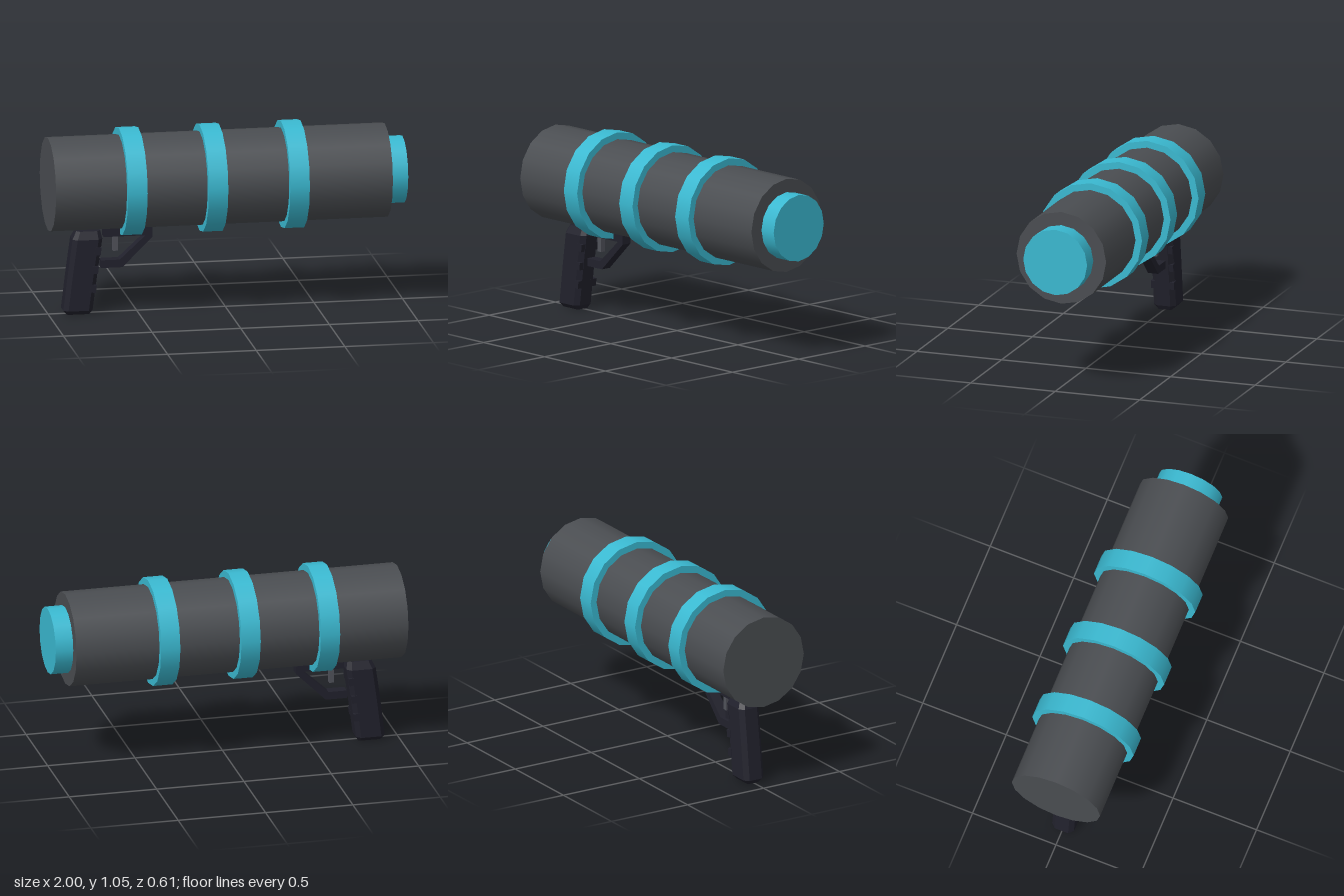
import * as THREE from 'three';

export function createModel() {
  const group = new THREE.Group();
  const mat = (name, color) => {
    const m = new THREE.MeshStandardMaterial({ color });
    m.name = name;
    return m;
  };
  const teal = mat('teal', 0x3ab9d1);
  const grey = mat('dark grey', 0x4a4d51);
  const black = mat('blue black', 0x21212c);
  const steel = mat('trigger grey', 0x50525a);

  const add = (name, geometry, material, x = 0, y = 0, z = 0) => {
    const mesh = new THREE.Mesh(geometry, material);
    mesh.name = name;
    mesh.position.set(x, y, z);
    group.add(mesh);
    return mesh;
  };

  // Sixteen-sided cylinder lying along x
  const AXIS_Y = 0.745;
  const barrelPart = (name, r, x0, x1, material) =>
    add(name, new THREE.CylinderGeometry(r, r, x1 - x0, 16).rotateZ(-Math.PI / 2),
      material, (x0 + x1) / 2, AXIS_Y);

  barrelPart('tube', 0.265, -1, 0.9, grey);
  barrelPart('muzzle', 0.189, 0.88, 1, teal);
  [-0.545, -0.09, 0.37].forEach((x, i) =>
    barrelPart('band' + (i + 1), 0.304, x - 0.055, x + 0.055, teal));

  // Grip: chamfered cross-sections [y, back x, front x, half width, chamfer]
  const sections = [
    [0, -0.9, -0.77, 0.04, 0.01],
    [0.025, -0.92, -0.755, 0.065, 0.025],
    [0.24, -0.894, -0.727, 0.065, 0.025],
    [0.43, -0.868, -0.7, 0.065, 0.025],
    [0.475, -0.845, -0.71, 0.045, 0.02],
  ];
  const rings = sections.map(([y, b, f, w, c]) => [
    [f, w - c], [f, c - w], [f - c, -w], [b + c, -w],
    [b, c - w], [b, w - c], [b + c, w], [f - c, w],
  ].map(([x, z]) => [x, y, z]));
  const pos = [];
  const tri = (a, b, c) => pos.push(...a, ...b, ...c);
  for (let i = 0; i < rings.length - 1; i++) {
    for (let j = 0; j < 8; j++) {
      const k = (j + 1) % 8;
      tri(rings[i][j], rings[i][k], rings[i + 1][k]);
      tri(rings[i][j], rings[i + 1][k], rings[i + 1][j]);
    }
  }
  const top = rings[rings.length - 1];
  for (let j = 1; j < 7; j++) {
    tri(rings[0][0], rings[0][j + 1], rings[0][j]);
    tri(top[0], top[j], top[j + 1]);
  }
  const gripGeo = new THREE.BufferGeometry();
  gripGeo.setAttribute('position', new THREE.Float32BufferAttribute(pos, 3));
  gripGeo.computeVertexNormals();
  add('grip', gripGeo, black);

  // Finger ridges standing slightly proud of the grip sides
  [[-0.744, 0.15], [-0.732, 0.257], [-0.717, 0.363]].forEach(([x, y], i) => {
    const ridge = add('gripRidge' + (i + 1), new THREE.BoxGeometry(0.035, 0.043, 0.136), black, x - 0.012, y);
    ridge.rotation.z = -0.13;
  });

  // Trigger guard: bent bar open towards the grip
  const guard = new THREE.Shape([
    [-0.415, 0.49], [-0.69, 0.49], [-0.69, 0.435], [-0.455, 0.435], [-0.6, 0.302],
    [-0.705, 0.302], [-0.705, 0.258], [-0.585, 0.258], [-0.415, 0.425],
  ].map(([x, y]) => new THREE.Vector2(x, y)));
  add('triggerGuard', new THREE.ExtrudeGeometry(guard, { depth: 0.06, bevelEnabled: false }),
    black, 0, 0, -0.03);

  // Trigger
  add('trigger', new THREE.BoxGeometry(0.027, 0.12, 0.03), steel, -0.622, 0.41);

  return group;
}
